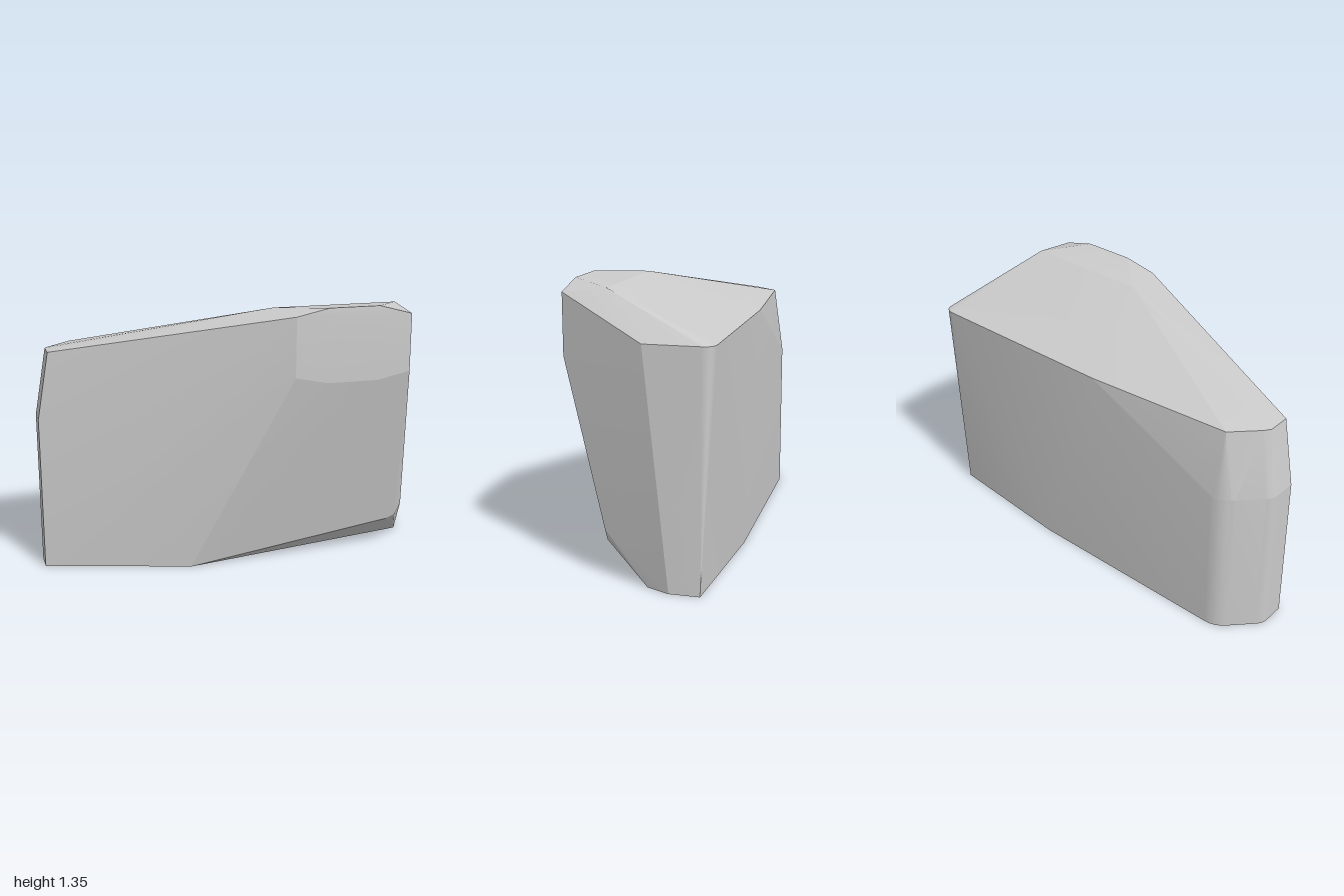
import * as THREE from 'three';
import { ConvexGeometry } from 'three/addons/geometries/ConvexGeometry.js';
import { toCreasedNormals } from 'three/addons/utils/BufferGeometryUtils.js';

// Rounded corner at height y, from a to b around c, all given as [x, z]
function round(y, a, c, b, steps) {
  const curve = new THREE.QuadraticBezierCurve(...[a, c, b].map((p) => new THREE.Vector2(...p)));
  return curve.getPoints(steps).map((p) => [p.x, y, p.y]);
}

// Chamfered left end with its two soft corners
const leftEnd = (y) => [
  [-1, y, -0.06],
  ...round(y, [-1, -0.165], [-1, -0.197], [-0.975, -0.222], 6),
  ...round(y, [-0.875, -0.325], [-0.83, -0.372], [-0.77, -0.372], 7),
];

// Corner rings of the faceted boulder, as [x, y, z]
const base = [
  ...leftEnd(0), [0.3, 0, -0.373], [1, 0, -0.315], [1, 0, -0.17], [0.95, 0, -0.06], [-0.28, 0, 0.16],
];
const lowerFront = [[0.8, 0.15, 0.16], [0.85, 0.17, 0.158], [0.88, 0.23, 0.16]];
const brow = [
  [0.2, 1.01, 0.37], [0.37, 0.975, 0.37], [0.63, 0.975, 0.37], [0.8, 1.01, 0.37],
  [0.2, 1.31, 0.37], [0.37, 1.345, 0.365], [0.63, 1.345, 0.365], [0.8, 1.3, 0.37],
];
const crown = [
  [-0.94, 1.12, -0.06], [-0.94, 1.12, -0.17], [-0.92, 1.12, -0.2], [-0.8, 1.12, -0.32],
  [-0.05, 1.12, -0.373], ...round(1.12, [0.93, -0.373], [1, -0.373], [1, -0.315], 14), [1, 1.12, -0.055],
  [0.15, 1.325, 0.16], [0.8, 1.325, 0.16],
];

export function createModel() {
  const model = new THREE.Group();
  model.name = 'rock';
  const stone = new THREE.MeshStandardMaterial({ color: 0xcacaca });
  stone.name = 'pale stone grey';

  // Convex shell: crisp facets, smooth only around the rounded corners
  const corners = [...base, ...lowerFront, ...leftEnd(0.78), ...brow, ...crown]
    .map((p) => new THREE.Vector3(...p));
  const boulder = new THREE.Mesh(toCreasedNormals(new ConvexGeometry(corners), 0.16), stone);
  boulder.name = 'boulder';
  model.add(boulder);
  return model;
}
